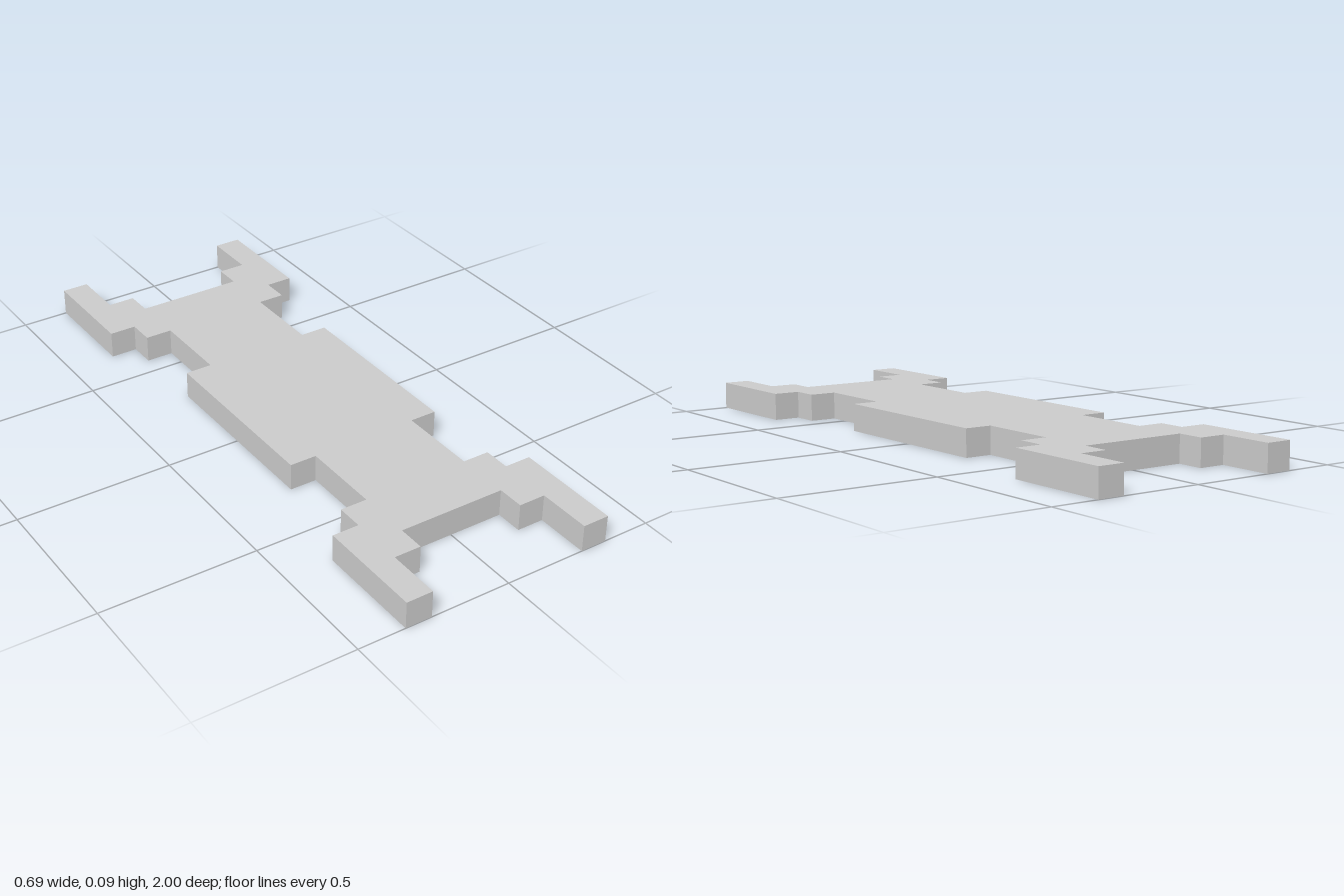
import * as THREE from 'three';

const HEIGHT = 0.087;

// One quarter of the stepped outline (x, z), from the end notch to the waist
const QUARTER = [
  [0.174, 0.739], [0.174, 0.826], [0.261, 0.826], [0.261, 1],
  [0.347, 1], [0.347, 0.653], [0.261, 0.653], [0.261, 0.566],
  [0.174, 0.566], [0.174, 0.305], [0.261, 0.305],
];

function mirrored(sx, sz) {
  const points = QUARTER.map(([x, z]) => new THREE.Vector2(x * sx, z * sz));
  return sx * sz < 0 ? points.reverse() : points;
}

export function createModel() {
  const group = new THREE.Group();
  group.name = 'steppedPlate';

  // Four mirrored quarters joined into one closed outline
  const outline = new THREE.Shape([
    ...mirrored(1, 1), ...mirrored(1, -1), ...mirrored(-1, -1), ...mirrored(-1, 1),
  ]);

  // Flat plate with two prongs at each end, lying on the ground
  const geometry = new THREE.ExtrudeGeometry(outline, { depth: HEIGHT, bevelEnabled: false });
  geometry.rotateX(-Math.PI / 2);
  const plate = new THREE.Mesh(
    geometry,
    new THREE.MeshStandardMaterial({ color: 0xcccccc, flatShading: true }),
  );
  plate.name = 'prongedPlate';
  group.add(plate);

  return group;
}
